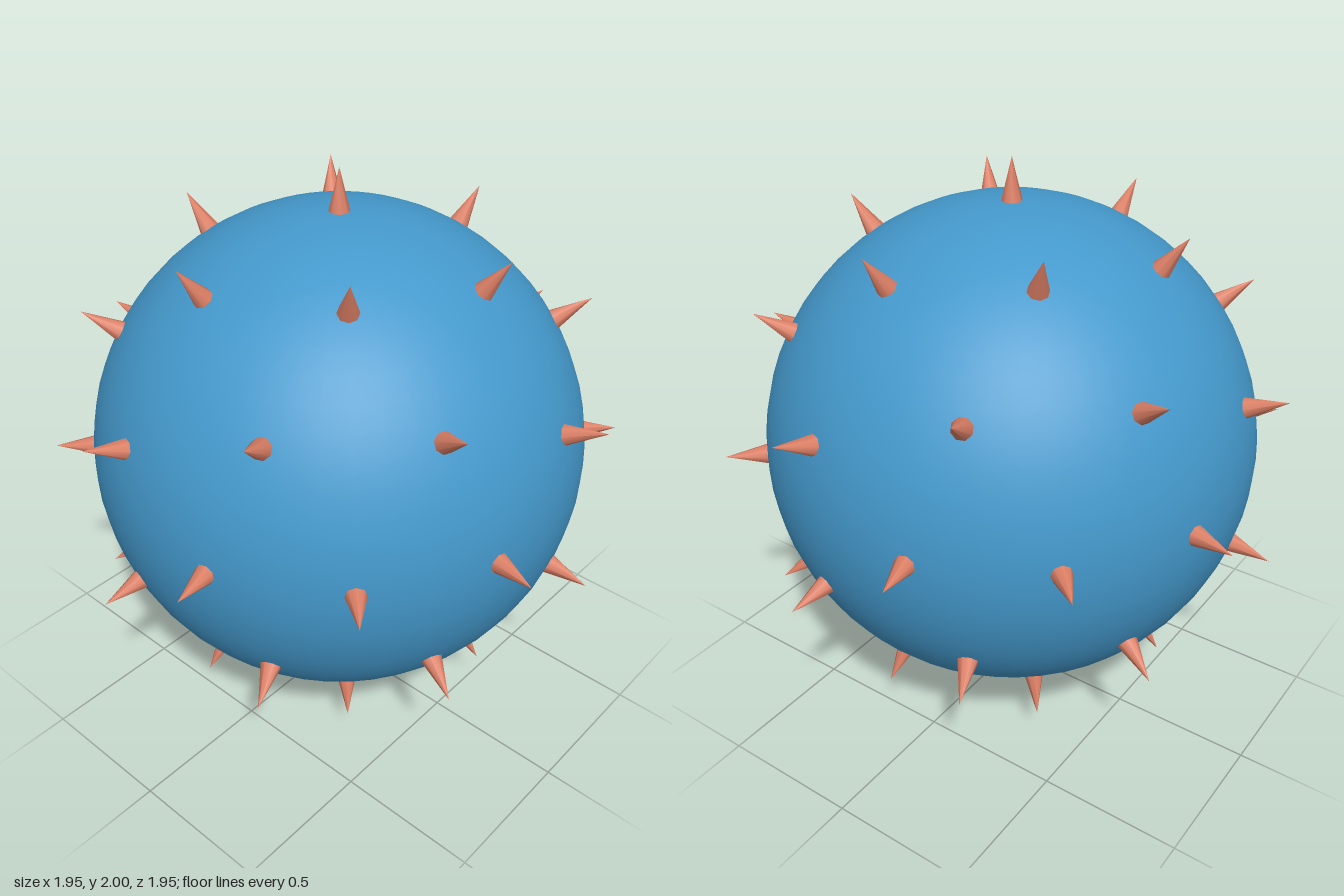
import * as THREE from 'three';
import { mergeVertices } from 'three/addons/utils/BufferGeometryUtils.js';

const BODY_RADIUS = 0.858, TIP_RADIUS = 1, SPIKE_BASE = 0.84, SPIKE_WIDTH = 0.039;

// Evenly spread directions: the corners and edge midpoints of an icosahedron
function spikeDirections() {
  const geo = new THREE.IcosahedronGeometry(1, 1);
  geo.deleteAttribute('uv');
  geo.deleteAttribute('normal');
  geo.rotateY(-Math.PI / 4);
  const pos = mergeVertices(geo, 1e-3).getAttribute('position');
  return Array.from({ length: pos.count }, (_, i) =>
    new THREE.Vector3().fromBufferAttribute(pos, i).normalize());
}

export function createModel() {
  const blue = new THREE.MeshStandardMaterial({ name: 'bodyBlue', color: 0x4499cc });
  const coral = new THREE.MeshStandardMaterial({ name: 'spikeCoral', color: 0xdd8066 });

  const model = new THREE.Group();
  model.name = 'spikyBall';

  // Round body
  const body = new THREE.Mesh(new THREE.SphereGeometry(BODY_RADIUS, 48, 32), blue);
  body.name = 'body';
  body.position.y = 1;
  model.add(body);

  // Spikes pointing straight out, with their bases sunk into the body
  const spikes = new THREE.Group();
  spikes.name = 'spikes';
  spikes.position.y = 1;
  const length = TIP_RADIUS - SPIKE_BASE;
  const cone = new THREE.ConeGeometry(SPIKE_WIDTH, length, 8);
  cone.translate(0, SPIKE_BASE + length / 2, 0);
  const up = new THREE.Vector3(0, 1, 0);
  for (const dir of spikeDirections()) {
    const spike = new THREE.Mesh(cone, coral);
    spike.name = 'spike';
    spike.quaternion.setFromUnitVectors(up, dir);
    spikes.add(spike);
  }
  model.add(spikes);
  return model;
}
